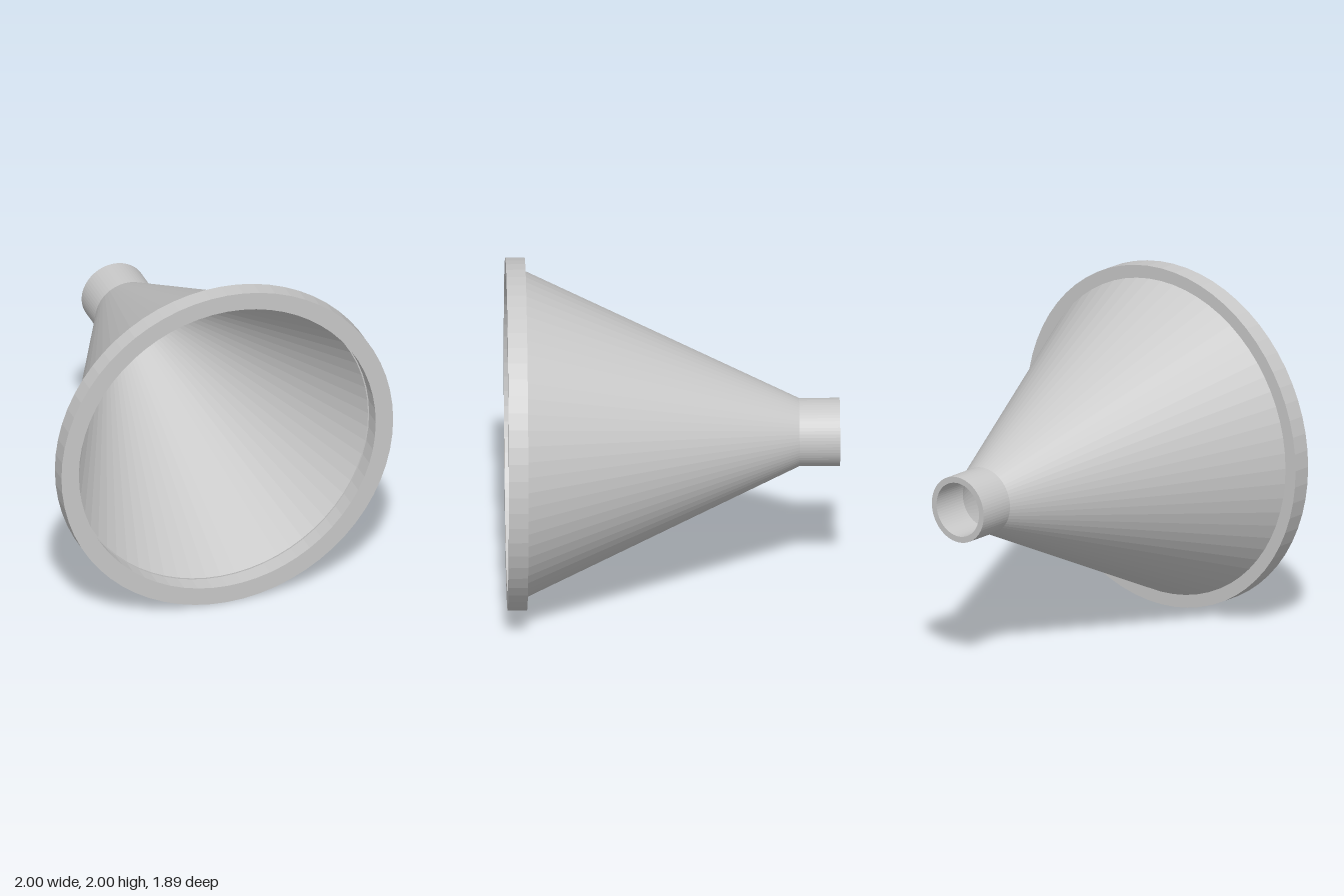
import * as THREE from 'three';

const SIDES = 64;

// Revolve [radius, z] points around the funnel's axis (z), at mid height.
function revolve(name, profile, material) {
  const points = profile.map(([r, z]) => new THREE.Vector2(r, z));
  const geometry = new THREE.LatheGeometry(points, SIDES);
  geometry.rotateX(Math.PI / 2);
  const mesh = new THREE.Mesh(geometry, material);
  mesh.name = name;
  mesh.position.y = 1;
  return mesh;
}

export function createModel() {
  const grey = new THREE.MeshStandardMaterial({ color: 0xc8c8c8, flatShading: true });
  grey.name = 'light grey';

  const funnel = new THREE.Group();
  funnel.name = 'funnel';

  const front = 0.945, rimBack = 0.835, throat = -0.715, back = -0.945;

  funnel.add(
    // Flat collar around the mouth, with a tiny ledge inside
    revolve('rim', [
      [0.925, rimBack], [1, rimBack], [1, front],
      [0.895, front], [0.895, rimBack], [0.888, rimBack],
    ], grey),
    // Conical wall, outside and inside
    revolve('coneOuterWall', [[0.193, throat], [0.925, rimBack]], grey),
    revolve('coneInnerWall', [[0.888, rimBack], [0.163, throat]], grey),
    // Short straight tube at the narrow end
    revolve('spout', [
      [0.163, throat], [0.158, throat], [0.158, back], [0.193, back], [0.193, throat],
    ], grey),
  );
  return funnel;
}
